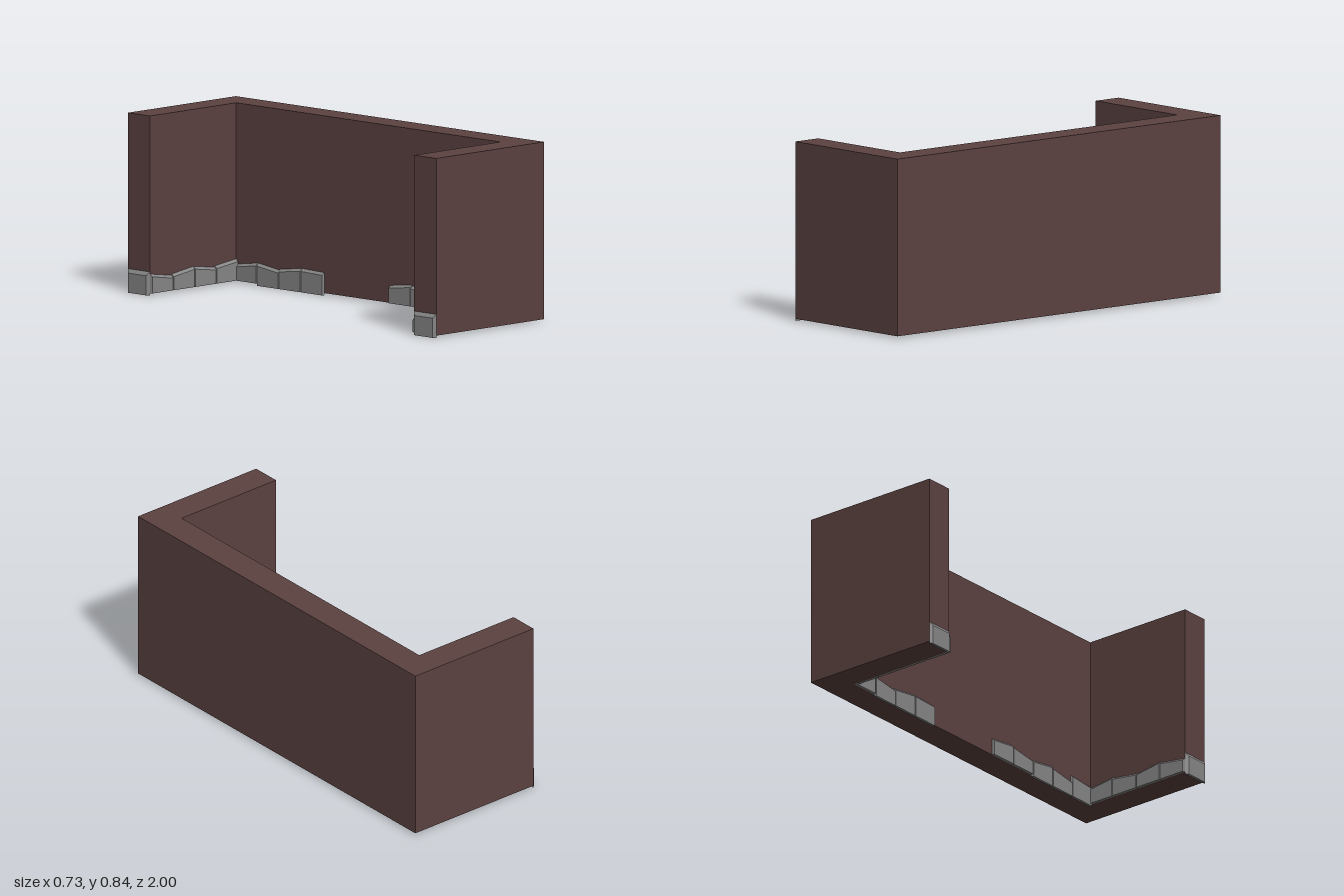
import * as THREE from 'three';

const wallMat = new THREE.MeshStandardMaterial({ color: 0x5c4241 });
wallMat.name = 'brown wall';
const stoneMat = new THREE.MeshStandardMaterial({ color: 0x868686 });
stoneMat.name = 'grey stone';

const X0 = -0.35, X1 = 0.362, T = 0.143, BASE = 0.01, TOP = 0.84, DEPTH = 0.013;
const BACK = X1 - T, INNER = 1 - T;

// Stone plate: back at z = 0, front pulled in at the sides and top, sloping top edge
function stoneGeometry(width, bottom, topLeft, topRight, inset, drop) {
  const g = new THREE.BoxGeometry(1, 1, 1).toNonIndexed();
  const p = g.attributes.position;
  for (let i = 0; i < p.count; i++) {
    const right = p.getX(i) > 0, up = p.getY(i) > 0, front = p.getZ(i) > 0;
    const half = width / 2 - (front ? inset : 0);
    const top = (right ? topRight : topLeft) - (front ? drop : 0);
    p.setXYZ(i, right ? half : -half, up ? top : bottom, front ? DEPTH : 0);
  }
  g.computeVertexNormals();
  return g;
}

export function createModel() {
  const model = new THREE.Group();
  model.name = 'lowWall';

  // U-shaped wall, extruded upwards from its plan (shape y becomes -z)
  const plan = new THREE.Shape([
    [X0, -1], [X1, -1], [X1, 1], [X0, 1],
    [X0, INNER], [BACK, INNER], [BACK, -INNER], [X0, -INNER],
  ].map(([x, y]) => new THREE.Vector2(x, y)));
  const wallGeo = new THREE.ExtrudeGeometry(plan, { depth: TOP - BASE, bevelEnabled: false });
  wallGeo.rotateX(-Math.PI / 2);
  wallGeo.translate(0, BASE, 0);
  const wall = new THREE.Mesh(wallGeo, wallMat);
  wall.name = 'wall';
  model.add(wall);

  function addStone(name, geo, x, z, turn) {
    const stone = new THREE.Mesh(geo, stoneMat);
    stone.name = name;
    stone.position.set(x, 0, z);
    stone.rotation.y = turn;
    model.add(stone);
  }

  // Worn heights at the joints between stones
  const heights = [0.112, 0.1, 0.085, 0.105, 0.092, 0.11];
  const stone = (i, w, bottom) =>
    stoneGeometry(w, bottom, heights[i % 6], heights[(i + 1) % 6] - 0.006 * (i % 2), 0.003, 0.012);

  // Stones along the inside of the long wall, leaving a gap in the middle
  for (let i = 0; i < 5; i++) {
    addStone('longWallStone', stone(i, T, i < 3 ? 0 : BASE), BACK, INNER - T * (i + 0.5), -Math.PI / 2);
    if (i < 4) {
      addStone('longWallStone', stone(i + 2, T, i < 1 ? BASE : 0), BACK, -INNER + T * (i + 0.5), -Math.PI / 2);
    }
  }

  // Stones along the inside of both arms, and a bevelled stone on each arm end
  const step = (BACK - X0) / 4;
  for (const side of [1, -1]) {
    for (let i = 0; i < 4; i++) {
      addStone('armStone', stone(i + 1, step, BASE), X0 + step * (i + 0.5), side * INNER, side > 0 ? Math.PI : 0);
    }
    addStone('armEndStone', stoneGeometry(T, 0, 0.11, 0.11, 0.012, 0.018), X0, side * (1 - T / 2), -Math.PI / 2);
  }
  return model;
}
